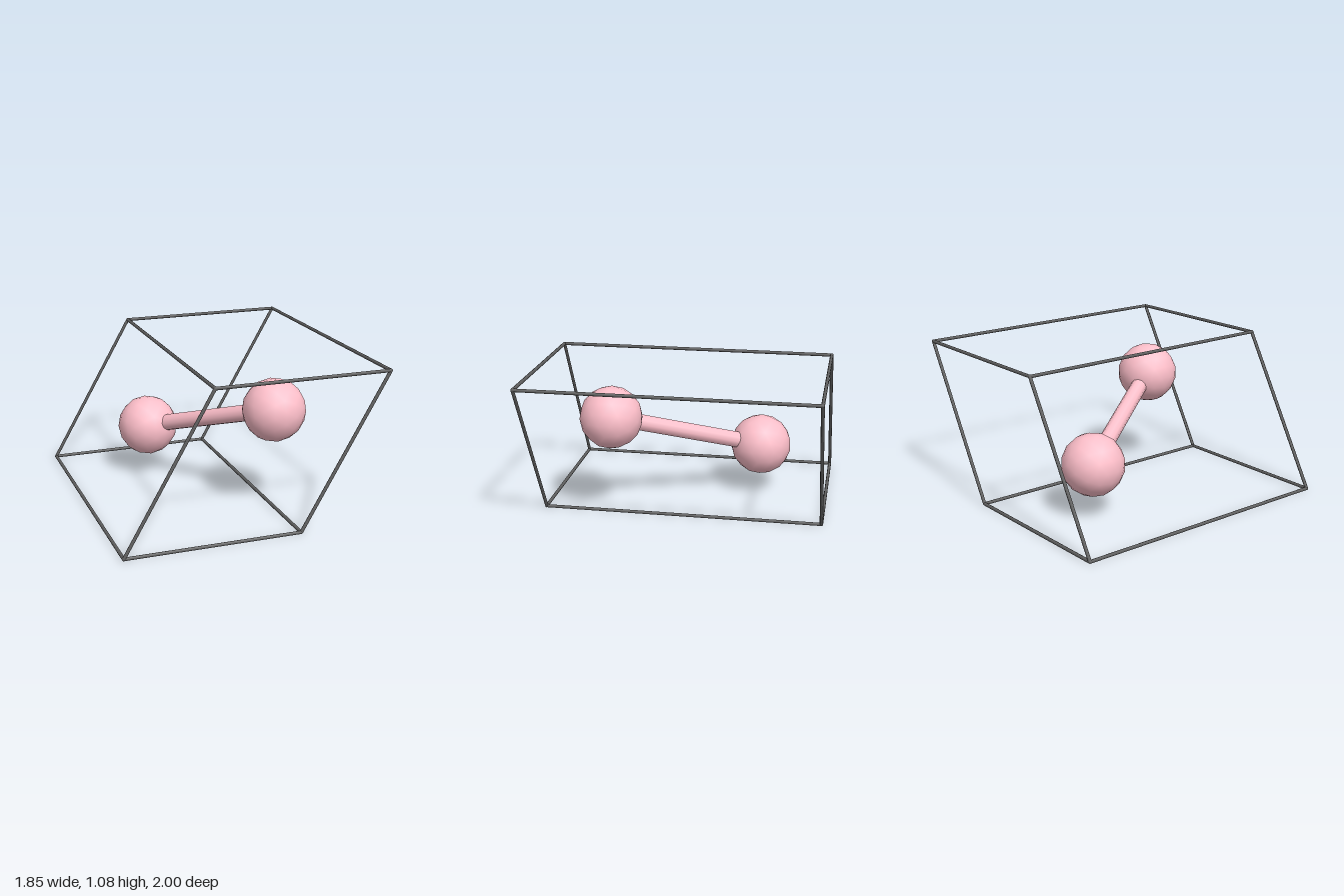
import * as THREE from 'three';

const UP = new THREE.Vector3(0, 1, 0);

// Cylinder running between two points
function rod(name, a, b, radius, sides, material) {
  const dir = b.clone().sub(a);
  const mesh = new THREE.Mesh(new THREE.CylinderGeometry(radius, radius, dir.length(), sides), material);
  mesh.position.copy(a).add(b).multiplyScalar(0.5);
  mesh.quaternion.setFromUnitVectors(UP, dir.normalize());
  mesh.name = name;
  return mesh;
}

export function createModel() {
  const model = new THREE.Group();
  model.name = 'crystalCell';
  const pink = new THREE.MeshStandardMaterial({ color: 0xffc0cb });
  const grey = new THREE.MeshStandardMaterial({ color: 0x606060 });

  // Cell vectors: a 60 degree rhombus swept along z
  const origin = new THREE.Vector3(-0.912, 0.012, -0.988);
  const A = new THREE.Vector3(1.216, 0, 0);
  const B = new THREE.Vector3(0.608, 1.054, 0);
  const C = new THREE.Vector3(0, 0, 1.976);
  const at = (u, v, w) => origin.clone().addScaledVector(A, u).addScaledVector(B, v).addScaledVector(C, w);

  // Twelve cell edges and eight rounded corners
  const frame = new THREE.Group();
  frame.name = 'cellFrame';
  for (const s of [0, 1]) {
    for (const t of [0, 1]) {
      frame.add(rod('edgeA', at(0, s, t), at(1, s, t), 0.012, 8, grey));
      frame.add(rod('edgeB', at(s, 0, t), at(s, 1, t), 0.012, 8, grey));
      frame.add(rod('edgeC', at(s, t, 0), at(s, t, 1), 0.012, 8, grey));
      for (const w of [0, 1]) {
        const corner = new THREE.Mesh(new THREE.SphereGeometry(0.012, 8, 6), grey);
        corner.position.copy(at(s, t, w));
        corner.name = 'corner';
        frame.add(corner);
      }
    }
  }
  model.add(frame);

  // Two atoms at the thirds of the rhombus, joined by a bond
  const sites = [at(1 / 3, 1 / 3, 0.25), at(2 / 3, 2 / 3, 0.75)];
  for (const site of sites) {
    const atom = new THREE.Mesh(new THREE.IcosahedronGeometry(0.22, 2), pink);
    atom.position.copy(site);
    atom.name = 'atom';
    model.add(atom);
  }
  model.add(rod('bond', sites[0], sites[1], 0.059, 12, pink));
  return model;
}
